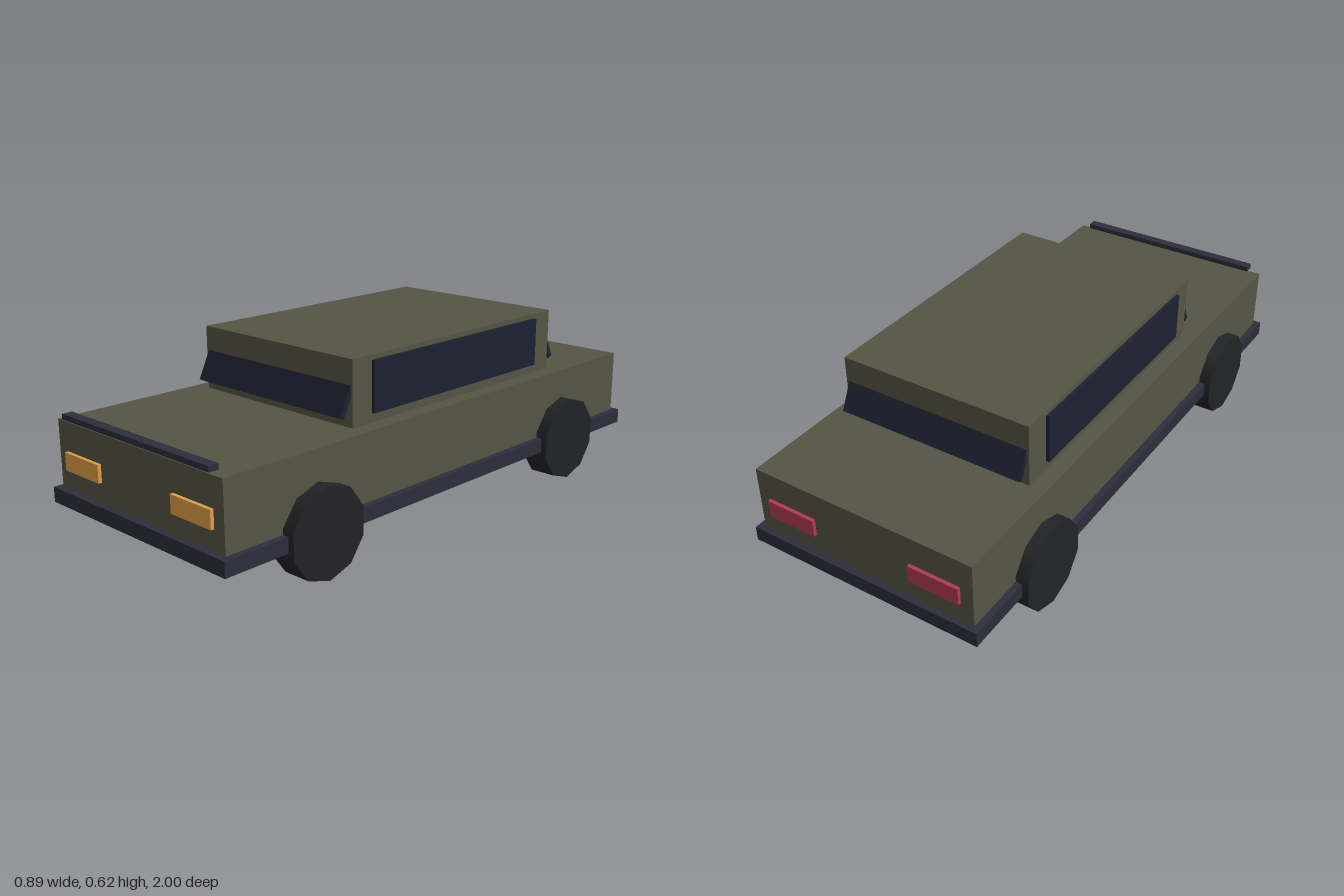
import * as THREE from 'three';

const mat = (color) => new THREE.MeshStandardMaterial({ color });

export function createModel() {
  const car = new THREE.Group();
  car.name = 'car';
  const paint = mat(0x555545);
  const trim = mat(0x2d2d3c);
  const glass = mat(0x1d2031);
  const rubber = mat(0x222326);
  const amber = mat(0xdf9f47);
  const red = mat(0xb03a55);

  const add = (name, geometry, material, x, y, z) => {
    const mesh = new THREE.Mesh(geometry, material);
    mesh.name = name;
    mesh.position.set(x, y, z);
    car.add(mesh);
    return mesh;
  };
  // Box given by its lower and upper limits on each axis
  const box = (name, material, [x0, x1], [y0, y1], [z0, z1]) =>
    add(name, new THREE.BoxGeometry(x1 - x0, y1 - y0, z1 - z0), material,
      (x0 + x1) / 2, (y0 + y1) / 2, (z0 + z1) / 2);

  // Chassis, body and cabin
  box('chassis', trim, [-0.422, 0.422], [0.127, 0.178], [-1, 1]);
  box('body', paint, [-0.4, 0.4], [0.178, 0.405], [-0.978, 0.978]);
  box('cabin', paint, [-0.344, 0.344], [0.405, 0.622], [-0.602, 0.421]);

  // Bar floating just above the nose
  box('hoodBar', trim, [-0.356, 0.356], [0.414, 0.432], [0.954, 0.99]);

  // Sloping front and rear windows, sunk into the cabin at the top
  const pane = new THREE.BoxGeometry(0.67, 0.14, 0.018);
  add('windshield', pane, glass, 0, 0.504, 0.428).rotation.x = -0.444;
  add('rearWindow', pane, glass, 0, 0.504, -0.607).rotation.x = 0.444;

  // Ten-sided wheel with a corner at top and bottom, axle along x
  const wheel = new THREE.CylinderGeometry(0.151, 0.151, 0.097, 10, 1, false, Math.PI / 2);
  wheel.rotateZ(Math.PI / 2);

  for (const [side, s] of [['left', 1], ['right', -1]]) {
    const span = (a, b) => (s > 0 ? [a, b] : [-b, -a]);
    box(side + 'SideWindow', glass, span(0.335, 0.356), [0.437, 0.605], [-0.509, 0.336]);
    box(side + 'Headlight', amber, span(0.178, 0.356), [0.247, 0.307], [0.966, 0.99]);
    box(side + 'Taillight', red, span(0.178, 0.356), [0.247, 0.307], [-0.99, -0.966]);
    add(side + 'FrontWheel', wheel, rubber, s * 0.3955, 0.151, 0.622);
    add(side + 'RearWheel', wheel, rubber, s * 0.3955, 0.151, -0.622);
  }
  return car;
}
